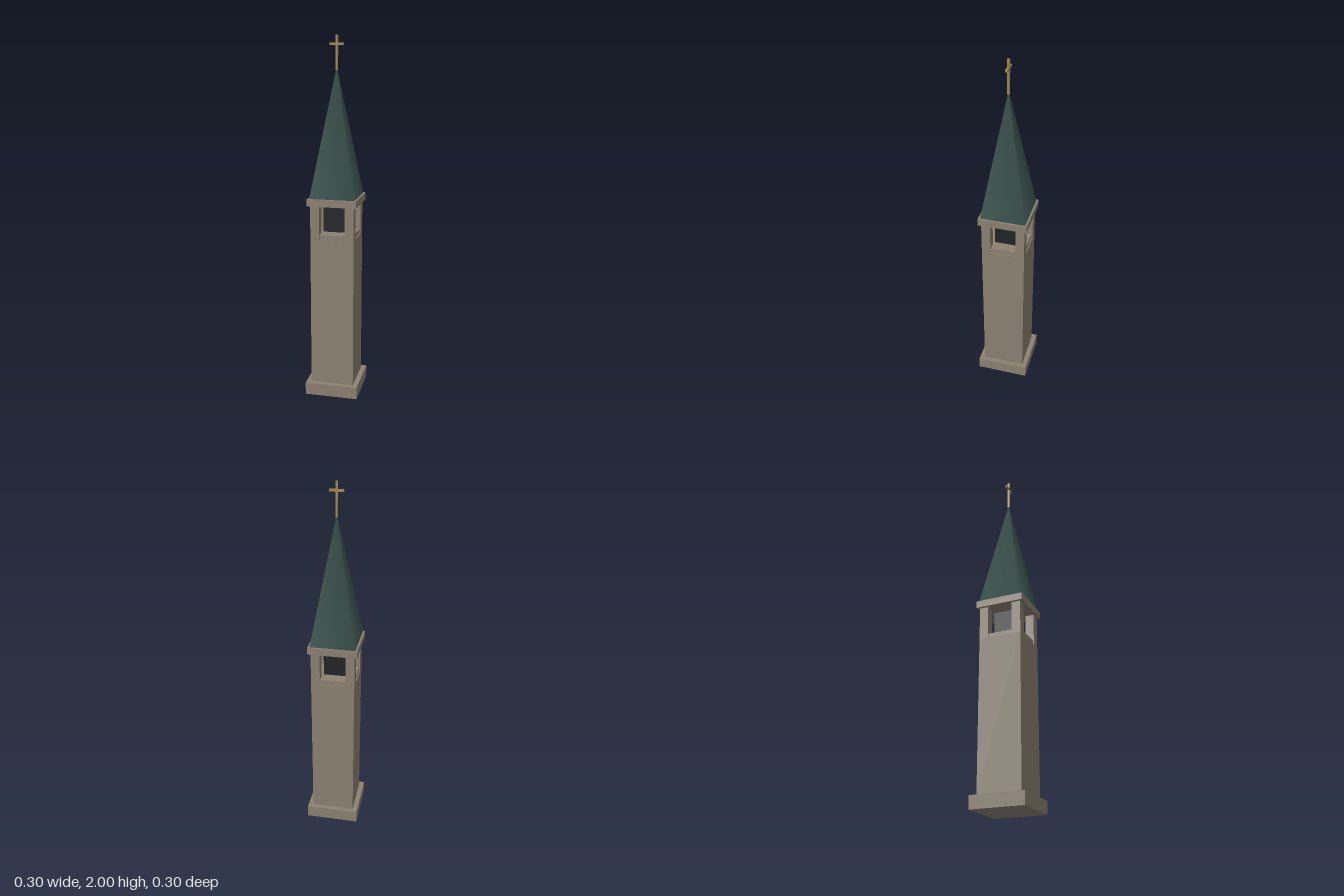
import * as THREE from 'three';

export function createModel() {
  const tower = new THREE.Group();
  tower.name = 'bellTower';

  const mat = (name, color) => {
    const m = new THREE.MeshStandardMaterial({ color });
    m.name = name;
    return m;
  };
  const stone = mat('stone', 0x8c8272);
  const patina = mat('patinaGreen', 0x3f5651);
  const dark = mat('darkChamber', 0x222426);
  const brass = mat('brass', 0x9f8750);

  const add = (name, geometry, material, x, y, z) => {
    const mesh = new THREE.Mesh(geometry, material);
    mesh.name = name;
    mesh.position.set(x, y, z);
    tower.add(mesh);
  };
  // Square block centred on the axis, given half-width and bottom / top heights
  const block = (name, half, y0, y1, material) =>
    add(name, new THREE.BoxGeometry(half * 2, y1 - y0, half * 2), material, 0, (y0 + y1) / 2, 0);

  // Masonry
  block('plinth', 0.149, 0, 0.07, stone);
  block('shaft', 0.121, 0.07, 0.915, stone);
  block('belfryFloor', 0.115, 0.915, 0.94, stone);
  block('cornice', 0.136, 1.1, 1.14, stone);

  // Corner posts leave an opening on every side
  const postWidth = 0.05, postCentre = 0.121 - postWidth / 2;
  for (const sx of [-1, 1]) for (const sz of [-1, 1]) {
    add('belfryPost', new THREE.BoxGeometry(postWidth, 0.185, postWidth), stone,
      sx * postCentre, 1.0075, sz * postCentre);
  }

  // Dark core seen through the openings
  block('belfryCore', 0.061, 0.947, 1.086, dark);

  // Four-sided spire
  const spire = new THREE.ConeGeometry(0.125 * Math.SQRT2, 0.7, 4);
  spire.rotateY(Math.PI / 4);
  add('spire', spire, patina, 0, 1.49, 0);

  // Finial
  const bar = 0.0125;
  add('crossUpright', new THREE.BoxGeometry(bar, 0.18, bar), brass, 0, 1.91, 0);
  add('crossArm', new THREE.BoxGeometry(0.077, bar, bar), brass, 0, 1.954, 0);

  return tower;
}
